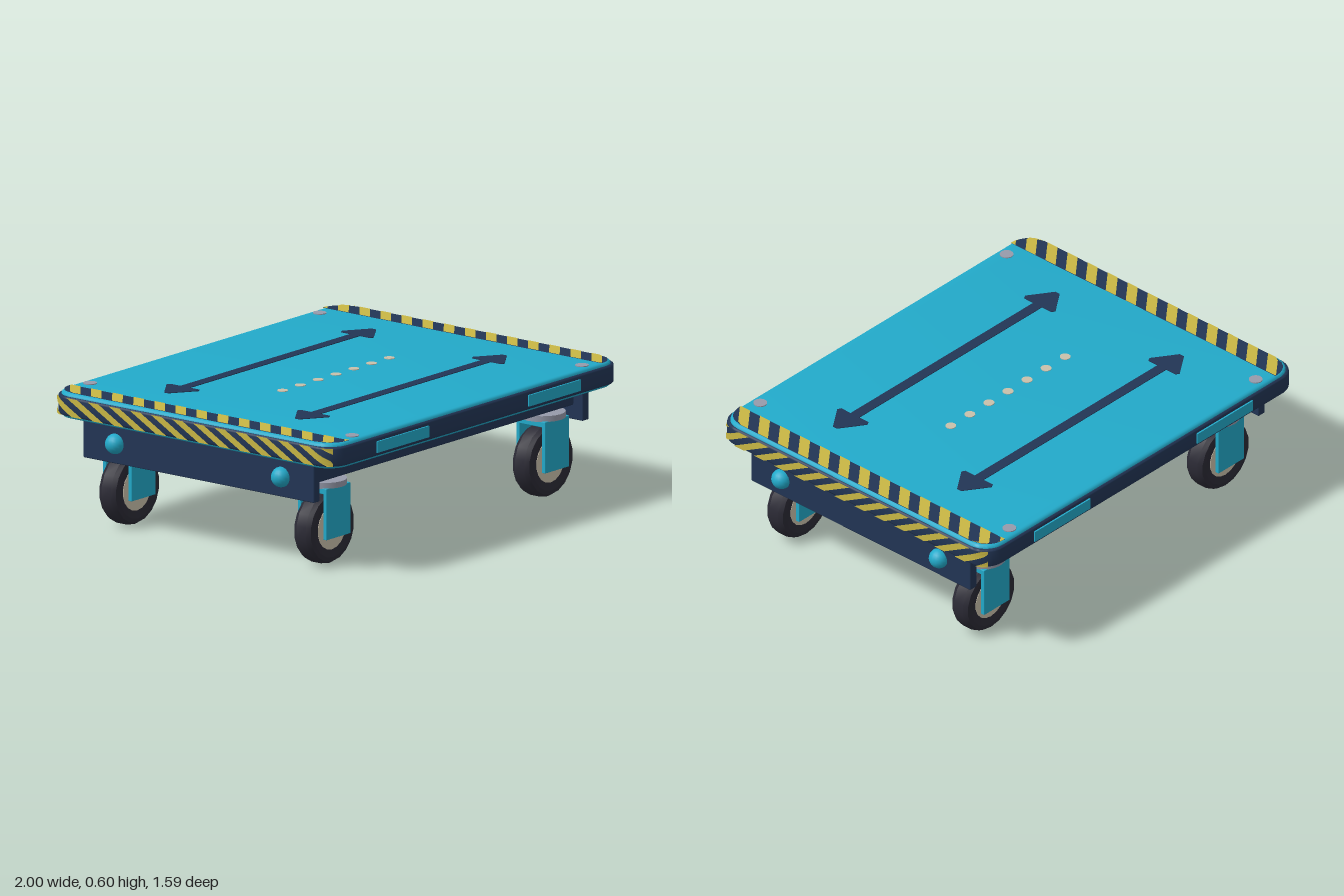
import * as THREE from 'three';
import { toCreasedNormals } from 'three/addons/utils/BufferGeometryUtils.js';
import { RoundedBoxGeometry } from 'three/addons/geometries/RoundedBoxGeometry.js';

const mat = (name, color) => Object.assign(new THREE.MeshStandardMaterial({ color }), { name });

export function createModel() {
  const model = new THREE.Group();
  model.name = 'platformDolly';
  const cyan = mat('cyan', 0x22aaca), navy = mat('navy', 0x223555), yellow = mat('yellow', 0xc9b744);
  const grey = mat('grey', 0x979bab), tyreBlack = mat('tyreBlack', 0x2b2a35), beige = mat('beige', 0xc9c0ab);

  const add = (parent, name, geo, material, x = 0, y = 0, z = 0) => {
    const mesh = new THREE.Mesh(geo, material);
    mesh.name = name;
    mesh.position.set(x, y, z);
    parent.add(mesh);
    return mesh;
  };
  const box = (w, h, d) => new RoundedBoxGeometry(w, h, d, 1, Math.min(w, h, d) * 0.12);

  // Horizontal slab with rounded corners and bevelled rims
  const slab = (hx, hz, r, y0, y1, b) => {
    const s = new THREE.Shape();
    s.absarc(hx - r, hz - r, r, 0, Math.PI / 2);
    s.absarc(r - hx, hz - r, r, Math.PI / 2, Math.PI);
    s.absarc(r - hx, r - hz, r, Math.PI, Math.PI * 1.5);
    s.absarc(hx - r, r - hz, r, Math.PI * 1.5, Math.PI * 2);
    const g = new THREE.ExtrudeGeometry(s, {
      depth: y1 - y0 - 2 * b, bevelThickness: b, bevelSize: b, bevelOffset: -b, bevelSegments: 3, curveSegments: 8,
    });
    g.rotateX(-Math.PI / 2).translate(0, y0 + b, 0);
    return toCreasedNormals(g, 0.6);
  };

  // Thin surface patch from a rule point(u, v)
  const patch = (point, nu, nv, flip) => {
    const pos = [], idx = [];
    for (let i = 0; i <= nu; i++) for (let j = 0; j <= nv; j++) pos.push(...point(i / nu, j / nv));
    for (let i = 0; i < nu; i++) for (let j = 0; j < nv; j++) {
      const a = i * (nv + 1) + j, b = a + nv + 1;
      if (flip) idx.push(a, b, a + 1, b, b + 1, a + 1);
      else idx.push(a, a + 1, b, b, a + 1, b + 1);
    }
    const g = new THREE.BufferGeometry();
    g.setAttribute('position', new THREE.Float32BufferAttribute(pos, 3));
    g.setIndex(idx);
    g.computeVertexNormals();
    return g;
  };

  // Deck and its surrounding bumper
  add(model, 'deck', slab(0.986, 0.778, 0.1, 0.487, 0.6, 0.016), cyan);
  add(model, 'bumper', slab(0.996, 0.787, 0.1, 0.499, 0.586, 0.01), navy);

  // Half extent of a rounded rectangle along one axis, at position t on the other
  const extent = (t, half, other, r = 0.1) => {
    const d = Math.min(r, Math.max(0, Math.abs(t) - (other - r)));
    return half - r + Math.sqrt(r * r - d * d);
  };
  const clamp = THREE.MathUtils.clamp, lerp = THREE.MathUtils.lerp;

  // Hazard striping on the deck ends and end walls
  const period = 0.117, topIn = 0.865, topOut = 0.974;
  for (const side of [-1, 1]) {
    const topPoint = (y, zAt) => (u, v) => {
      const x = lerp(topIn, topOut, u), lim = extent(x, 0.772, topOut);
      return [side * x, y, clamp(zAt(side * x, v), -lim, lim)];
    };
    add(model, 'hazardBase', patch(topPoint(0.602, (x, v) => lerp(-0.772, 0.772, v)), 8, 1, side < 0), navy);
    for (let i = -8; i <= 8; i++) {
      const c = i * period;
      const onTop = (x, v) => c + (v - 0.5) * period * 0.5 - 0.8 * (x - side * 0.92);
      add(model, 'topStripe', patch(topPoint(0.604, onTop), 8, 1, side < 0), yellow);
      const wallPoint = (u, v) => {
        const y = lerp(0.502, 0.583, v);
        const z = clamp(c + (u - 0.5) * period * 0.5 - 1.8 * (y - 0.543), -0.765, 0.765);
        return [side * extent(z, 1, 0.791), y, z];
      };
      add(model, 'wallStripe', patch(wallPoint, 4, 6, side < 0), yellow);
    }
  }

  // Double-headed arrows
  const quarter = [[0.712, 0.012], [0.602, 0.088], [0.585, 0.08], [0.585, 0.025]];
  const outline = [
    ...quarter,
    ...quarter.map(([x, y]) => [-x, y]).reverse(),
    ...quarter.map(([x, y]) => [-x, -y]),
    ...quarter.map(([x, y]) => [x, -y]).reverse(),
  ].map(([x, y]) => new THREE.Vector2(x, y));
  const arrow = new THREE.ExtrudeGeometry(new THREE.Shape(outline), { depth: 0.006, bevelEnabled: false });
  arrow.rotateX(-Math.PI / 2);
  for (const z of [-0.365, 0.36]) add(model, 'arrow', arrow, navy, 0, 0.597, z);

  // Row of grip dots
  const dot = new THREE.CylinderGeometry(0.024, 0.024, 0.006, 12);
  for (let i = -3; i <= 3; i++) add(model, 'gripDot', dot, beige, i * 0.122, 0.6, 0);

  // Underframe
  for (const s of [-1, 1]) {
    add(model, 'longRail', box(1.8, 0.112, 0.09), navy, 0, 0.436, s * 0.55);
    add(model, 'endRail', box(0.07, 0.112, 1.1), navy, s * 0.865, 0.436, 0);
    add(model, 'endPlate', box(0.042, 0.175, 1.28), navy, s * 0.922, 0.403, 0);
  }
  add(model, 'crossBeam', box(0.1, 0.1, 1.02), navy, 0, 0.44, 0);

  // One caster, rolling along x
  const bolt = new THREE.CylinderGeometry(0.03, 0.03, 0.008, 16);
  const buffer = new THREE.SphereGeometry(0.045, 16, 12);
  const profile = [[0.088, -0.04], [0.13, -0.05], [0.149, -0.046], [0.16, -0.026],
    [0.16, 0.026], [0.149, 0.046], [0.13, 0.05], [0.088, 0.04]].map(([r, y]) => new THREE.Vector2(r, y));
  const tyre = toCreasedNormals(new THREE.LatheGeometry(profile, 18).rotateX(Math.PI / 2), 0.4);
  const disc = (r, h) => new THREE.CylinderGeometry(r, r, h, 18).rotateX(Math.PI / 2);
  const makeCaster = () => {
    const g = new THREE.Group();
    g.name = 'caster';
    add(g, 'swivelPlate', new THREE.CylinderGeometry(0.1, 0.1, 0.026, 20), grey, 0, 0.369, 0);
    add(g, 'forkCrown', box(0.165, 0.026, 0.16), cyan, 0, 0.345, 0);
    for (const s of [-1, 1]) add(g, 'forkArm', box(0.165, 0.228, 0.018), cyan, 0, 0.244, s * 0.071);
    add(g, 'tyre', tyre, tyreBlack, 0, 0.165, 0);
    add(g, 'hub', disc(0.096, 0.088), beige, 0, 0.165, 0);
    add(g, 'axle', disc(0.036, 0.15), cyan, 0, 0.168, 0);
    return g;
  };

  // Corner parts: casters, bolts, buffers and side plates
  for (const sx of [-1, 1]) for (const sz of [-1, 1]) {
    const caster = makeCaster();
    caster.position.set(sx * 0.75, -0.005, sz * 0.54);
    model.add(caster);
    add(model, 'deckBolt', bolt, grey, sx * 0.788, 0.6, sz * 0.727);
    add(model, 'endBuffer', buffer, cyan, sx * 0.945, 0.405, sz * 0.46);
    add(model, 'sidePlate', new THREE.BoxGeometry(0.355, 0.05, 0.009), cyan, sx * 0.52, 0.541, sz * 0.79);
  }
  return model;
}
